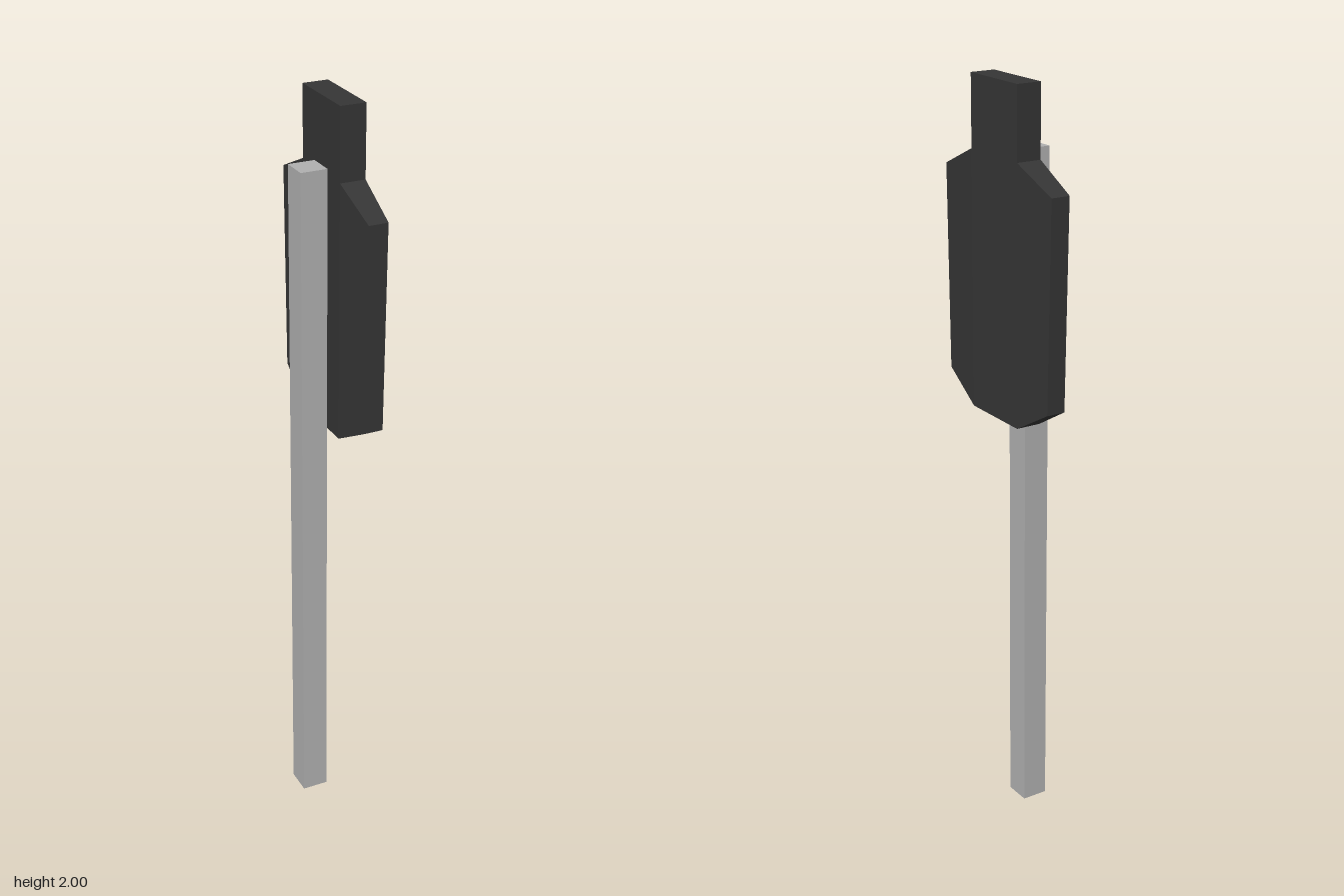
import * as THREE from 'three';

const BACK = 0, FRONT = 0.067; // thickness range of the board along x

// Skin a row of quads (ordered by rising z) into a closed flat-faced solid.
function loft(sections) {
  const points = [], index = [];
  const quad = (a, b, c, d) => index.push(a, b, c, a, c, d);
  sections.forEach((s) => points.push(...s.flat()));
  for (let i = 0; i < sections.length - 1; i++) {
    for (let j = 0; j < 4; j++) {
      const k = (j + 1) % 4;
      quad(i * 4 + j, i * 4 + k, i * 4 + 4 + k, i * 4 + 4 + j);
    }
  }
  const last = (sections.length - 1) * 4;
  quad(last, last + 1, last + 2, last + 3);
  quad(3, 2, 1, 0);
  const geometry = new THREE.BufferGeometry();
  geometry.setAttribute('position', new THREE.Float32BufferAttribute(points, 3));
  geometry.setIndex(index);
  const flat = geometry.toNonIndexed();
  flat.computeVertexNormals();
  return flat;
}

// One upright slice of the board; z may differ at its bottom and top.
const slice = (inset, bottom, top, zBottom, zTop) => [
  [BACK + inset, bottom, zBottom],
  [FRONT - inset, bottom, zBottom],
  [FRONT - inset, top, zTop],
  [BACK + inset, top, zTop],
];

export function createModel() {
  const group = new THREE.Group();
  group.name = 'targetOnPost';

  const boardMaterial = new THREE.MeshStandardMaterial({ color: 0x353535 });
  boardMaterial.name = 'charcoal';
  const postMaterial = new THREE.MeshStandardMaterial({ color: 0xb0b0b0 });
  postMaterial.name = 'lightGrey';

  const add = (name, geometry, material, x = 0, y = 0, z = 0) => {
    const mesh = new THREE.Mesh(geometry, material);
    mesh.name = name;
    mesh.position.set(x, y, z);
    group.add(mesh);
  };

  // Torso: thick middle with thinner, sloping shoulders and flanks
  add('torsoBoard', loft([
    slice(0.008, 1.213, 1.755, -0.225, -0.237),
    slice(0, 1.143, 1.815, -0.103, -0.103),
    slice(0, 1.143, 1.815, 0.102, 0.102),
    slice(0.008, 1.213, 1.755, 0.227, 0.237),
  ]), boardMaterial);

  // Head block
  add('headBoard', new THREE.BoxGeometry(FRONT - BACK, 0.185, 0.205),
    boardMaterial, (FRONT + BACK) / 2, 1.9075, -0.0005);

  // Square post behind the board
  add('post', new THREE.BoxGeometry(0.07, 1.83, 0.072), postMaterial, -0.035, 0.915, -0.001);

  return group;
}
